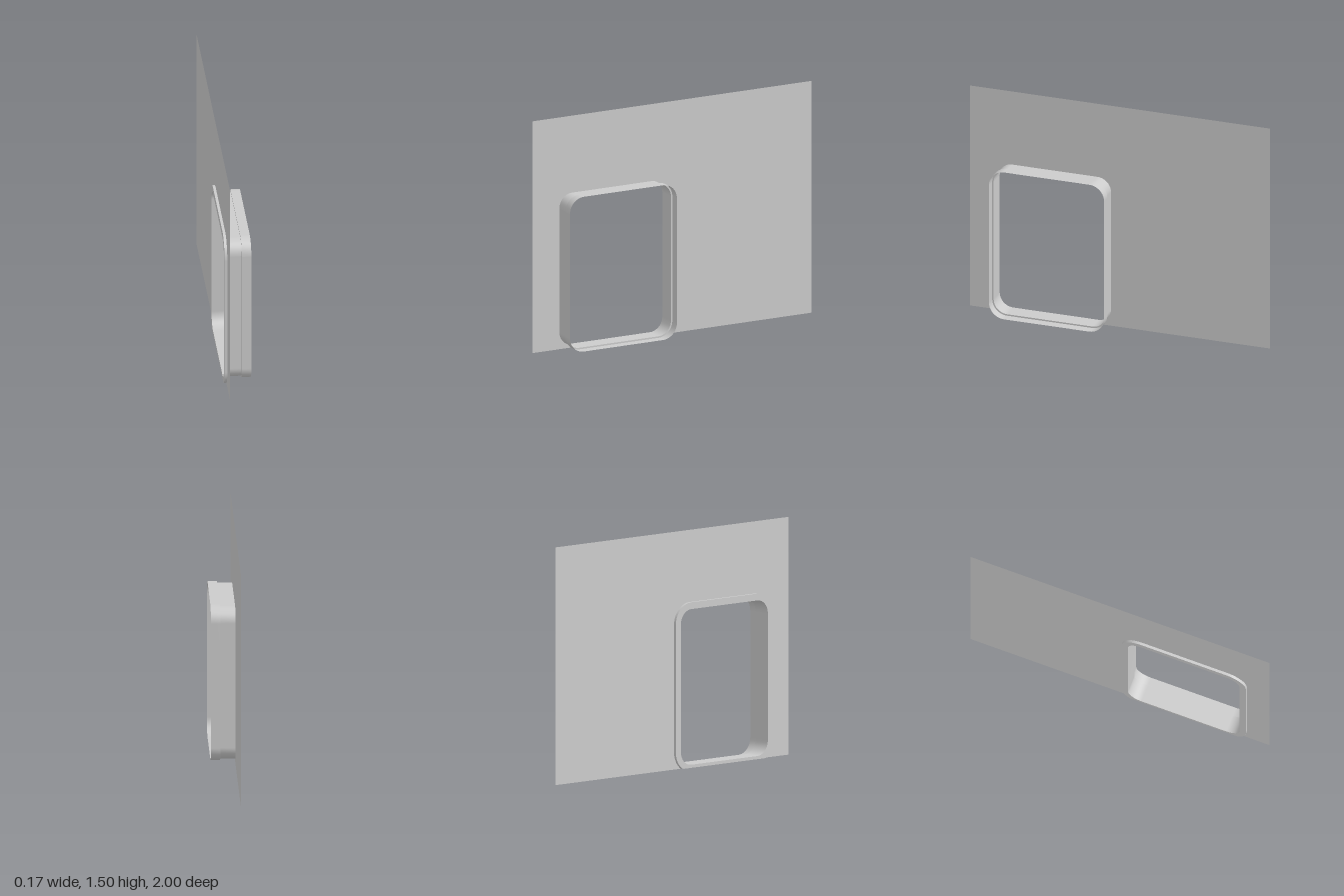
import * as THREE from 'three';

// Opening outline in (z, y)
const Z0 = 0.06, Z1 = 0.807, Y0 = 0.02, Y1 = 1.005, R = 0.09;
const CORNER_STEPS = 10;

// Rounded rectangle, grown outwards by d and cut off at the floor
function outline(d) {
  const points = [];
  const corners = [[Z1 - R, Y1 - R], [Z0 + R, Y1 - R], [Z0 + R, Y0 + R], [Z1 - R, Y0 + R]];
  corners.forEach(([z, y], c) => {
    for (let i = 0; i <= CORNER_STEPS; i++) {
      const a = (c + i / CORNER_STEPS) * Math.PI / 2;
      points.push(new THREE.Vector2(z + (R + d) * Math.cos(a), Math.max(0, y + (R + d) * Math.sin(a))));
    }
  });
  return points;
}

// Band between two outlines, each given as [x, d]
function band([xa, da], [xb, db]) {
  const a = outline(da), b = outline(db), n = a.length;
  const positions = [], index = [];
  for (let i = 0; i <= n; i++) {
    const p = a[i % n], q = b[i % n];
    positions.push(xa, p.y, p.x, xb, q.y, q.x);
    if (i < n) {
      const k = i * 2;
      index.push(k, k + 2, k + 1, k + 1, k + 2, k + 3);
    }
  }
  const geometry = new THREE.BufferGeometry();
  geometry.setAttribute('position', new THREE.Float32BufferAttribute(positions, 3));
  geometry.setIndex(index);
  geometry.computeVertexNormals();
  return geometry;
}

export function createModel() {
  const model = new THREE.Group();
  const material = new THREE.MeshStandardMaterial({ color: 0xcccccc, side: THREE.DoubleSide });
  const add = (name, geometry) => {
    const mesh = new THREE.Mesh(geometry, material);
    mesh.name = name;
    model.add(mesh);
    return mesh;
  };

  // Thin wall panel with the window opening
  const panel = new THREE.Shape([
    new THREE.Vector2(-1, 0), new THREE.Vector2(1, 0),
    new THREE.Vector2(1, 1.505), new THREE.Vector2(-1, 1.505),
  ]);
  panel.holes.push(new THREE.Path(outline(0)));
  const wall = add('wallPanel', new THREE.ShapeGeometry(panel));
  wall.rotation.y = -Math.PI / 2;
  wall.position.x = -0.07;

  // Window frame: flange on one side of the wall, tube and wider sleeve on the other
  const profile = [
    ['flangeRim', [-0.07, 0.043], [-0.087, 0.043]],
    ['flangeFace', [-0.087, 0.043], [-0.087, 0]],
    ['frameTube', [-0.087, 0], [0.025, 0]],
    ['sleeveStep', [0.025, 0], [0.025, 0.01]],
    ['sleeve', [0.025, 0.01], [0.085, 0.01]],
  ];
  for (const [name, from, to] of profile) add(name, band(from, to));

  return model;
}
